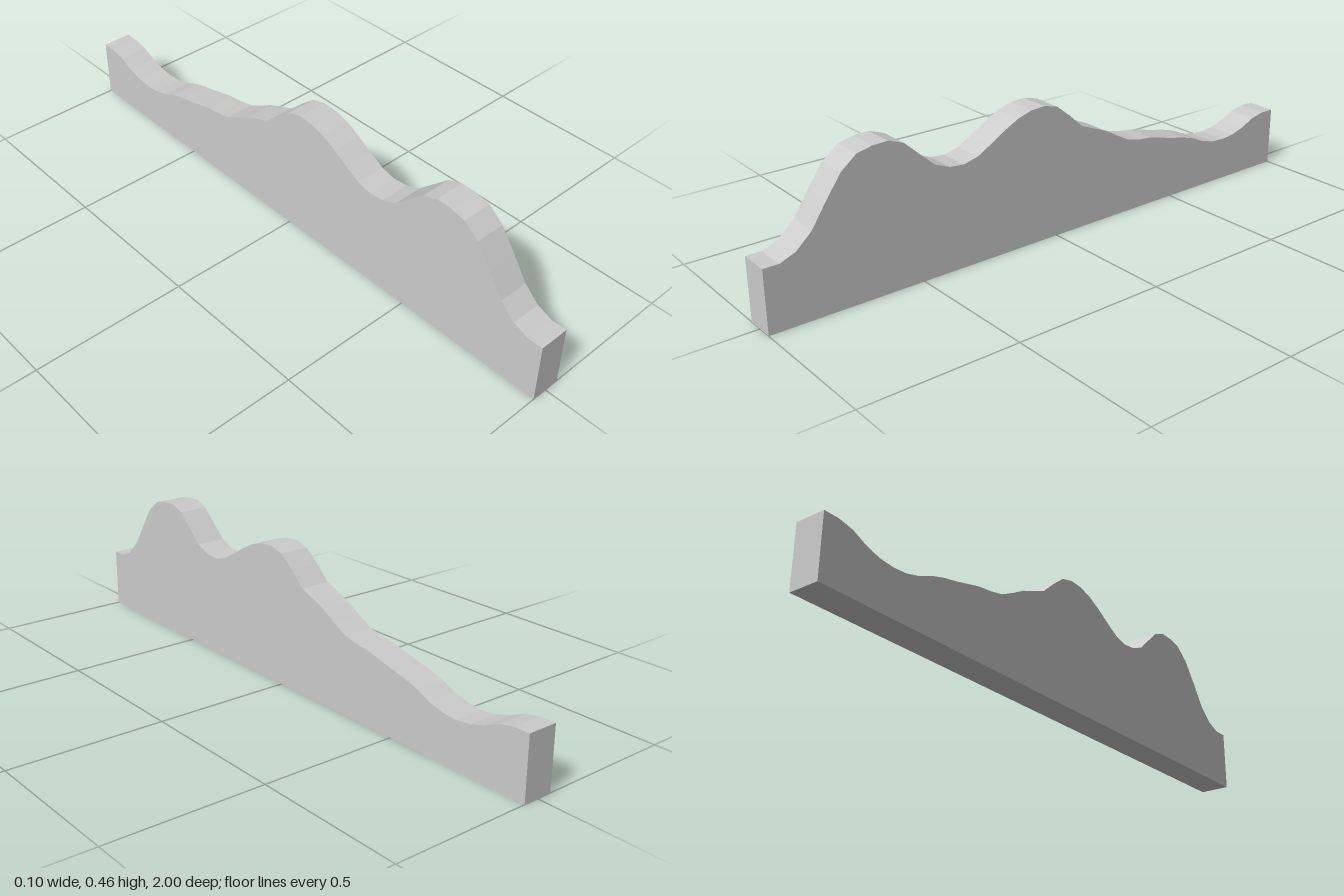
import * as THREE from 'three';

// Heights of the wavy top edge, evenly spaced from the front (z = 1) to the back (z = -1)
const heights = [
  0.2, 0.2, 0.22, 0.265, 0.34, 0.41, 0.45, 0.461, 0.463, 0.445,
  0.4, 0.355, 0.335, 0.33, 0.342, 0.37, 0.4, 0.425, 0.44, 0.443,
  0.43, 0.39, 0.345, 0.325, 0.305, 0.277, 0.252, 0.241, 0.235, 0.223,
  0.21, 0.2, 0.185, 0.163, 0.15, 0.147, 0.152, 0.167, 0.19, 0.2, 0.2,
];
const length = 2;
const thickness = 0.1;

export function createModel() {
  const group = new THREE.Group();
  group.name = 'wavyPanel';

  // Side outline: flat base with the wavy edge above
  const outline = new THREE.Shape();
  outline.moveTo(-length / 2, 0);
  outline.lineTo(length / 2, 0);
  heights.forEach((h, i) => {
    outline.lineTo(length / 2 - (length * i) / (heights.length - 1), h);
  });
  outline.closePath();

  // Extrude across the width, then turn the outline to run along z
  const geometry = new THREE.ExtrudeGeometry(outline, { depth: thickness, bevelEnabled: false });
  geometry.translate(0, 0, -thickness / 2);
  geometry.rotateY(-Math.PI / 2);

  const panel = new THREE.Mesh(
    geometry,
    new THREE.MeshStandardMaterial({ color: 0xcccccc, flatShading: true }),
  );
  panel.name = 'panel';
  group.add(panel);
  return group;
}
